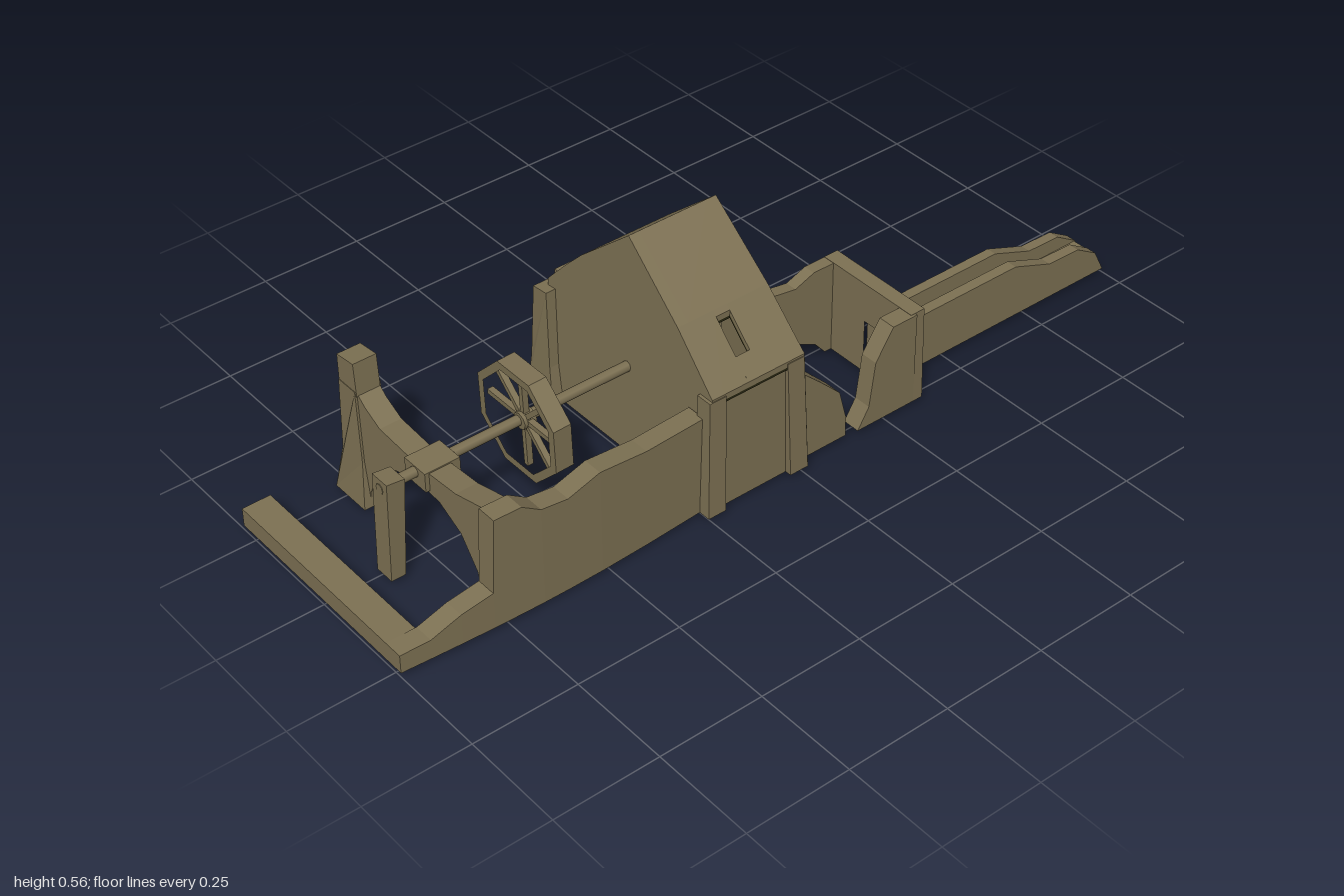
import * as THREE from 'three';

const stone = new THREE.MeshStandardMaterial({ color: 0x7d7153 });
stone.name = 'weathered stone';
const shade = new THREE.MeshStandardMaterial({ color: 0x282611 });
shade.name = 'dark interior';

const G = 0.01; // ground line of the masonry

export function createModel() {
  const root = new THREE.Group();
  root.name = 'ruinedMill';

  const add = (parent, name, geo, mat = stone) => {
    const m = new THREE.Mesh(geo, mat);
    m.name = name;
    parent.add(m);
    return m;
  };
  const toShape = (pts, holes) => {
    const s = new THREE.Shape(pts.map(p => new THREE.Vector2(...p)));
    holes.forEach(h => s.holes.push(new THREE.Path(h.map(p => new THREE.Vector2(...p)))));
    return s;
  };
  // profile in (x, y), swept from z0 to z1
  const sweepZ = (pts, z0, z1) =>
    new THREE.ExtrudeGeometry(toShape(pts, []), { depth: z1 - z0, bevelEnabled: false }).translate(0, 0, z0);
  // profile in (z, y), swept from x0 to x1
  const sweepX = (pts, x0, x1, holes = []) => {
    const flip = a => a.map(([z, y]) => [-z, y]);
    return new THREE.ExtrudeGeometry(toShape(flip(pts), holes.map(flip)), { depth: x1 - x0, bevelEnabled: false })
      .rotateY(Math.PI / 2).translate(x0, 0, 0);
  };
  const box = (x0, x1, y0, y1, z0, z1) =>
    new THREE.BoxGeometry(x1 - x0, y1 - y0, z1 - z0).translate((x0 + x1) / 2, (y0 + y1) / 2, (z0 + z1) / 2);
  const warp = (geo, rule) => {
    const p = geo.attributes.position, v = new THREE.Vector3();
    for (let i = 0; i < p.count; i++) {
      rule(v.fromBufferAttribute(p, i));
      p.setXYZ(i, v.x, v.y, v.z);
    }
    geo.computeVertexNormals();
    return geo;
  };

  // ---- Gabled house, narrowing towards the ridge
  const house = new THREE.Group();
  house.name = 'house';
  root.add(house);
  const taper = geo => warp(geo, v => { v.x = -0.118 + (v.x + 0.118) * (1 - 0.25 * v.y); });
  const X0 = -0.25, X1 = 0.014, R0 = X0 + 0.03, R1 = X1 - 0.03;
  const gable = [[0.296, G], [0.288, 0.305], [0.175, 0.42], [0.015, 0.556], [-0.14, 0.425], [-0.195, 0.37], [-0.255, 0.305], [-0.265, G]];
  // arch above a half-height wall, with a doorway down one side
  const archHole = [[0.16, 0.02], [0.16, 0.305], [0.135, 0.35], [0.095, 0.38], [0.015, 0.398],
    [-0.07, 0.378], [-0.11, 0.35], [-0.133, 0.305], [0.055, 0.305], [0.055, 0.02]];
  add(house, 'solidGableWall', taper(sweepX(gable, X0, R0)));
  add(house, 'archedGableWall', taper(sweepX(gable, R1, X1, [archHole])));

  // dark inner faces of the two gable walls
  const inner = [[0.262, G], [0.262, 0.305], [0.17, 0.402], [0.015, 0.534], [-0.14, 0.402], [-0.185, 0.357], [-0.24, 0.3], [-0.25, G]];
  add(house, 'solidWallLining', taper(sweepX(inner, R0, R0 + 0.006)), shade);
  add(house, 'archedWallLining', taper(sweepX(inner, R1 - 0.006, R1, [archHole])), shade);

  // roof slab with a dark underside
  const slab = (name, a, b, x0, x1) => {
    const layer = (t, d) => taper(sweepX([[a[0], a[1] - t], [b[0], b[1] - t], [b[0], b[1] - d], [a[0], a[1] - d]], x0, x1));
    add(house, name, layer(0, 0.014));
    add(house, name + 'Lining', layer(0.014, 0.02), shade);
  };
  slab('frontRoofUpper', [0.175, 0.42], [0.015, 0.556], R0, R1);
  slab('backRoofUpper', [0.015, 0.556], [-0.14, 0.425], R0, R1);
  slab('backRoofLower', [-0.14, 0.425], [-0.182, 0.383], R0, R1);
  // front roof around a small skylight
  const w0 = -0.148, w1 = -0.108;
  slab('frontRoofLower', [0.288, 0.305], [0.175, 0.42], R0, w0);
  slab('frontRoofLower', [0.288, 0.305], [0.175, 0.42], w1, R1);
  slab('skylightSill', [0.288, 0.305], [0.248, 0.346], w0, w1);
  slab('skylightHead', [0.185, 0.41], [0.175, 0.42], w0, w1);
  // recessed front with corner piers
  add(house, 'frontPanel', box(-0.215, -0.035, G, 0.303, 0.255, 0.282));
  add(house, 'frontPanelLining', box(R0, R1, G, 0.315, 0.249, 0.255), shade);
  for (const [a, b] of [[-0.258, -0.212], [-0.036, 0.012]])
    add(house, 'frontPier', taper(sweepX([[0.298, G], [0.29, 0.3], [0.25, 0.3], [0.25, G]], a, b)));
  // open back with flared buttresses and a lintel
  add(house, 'backLintel', box(-0.21, -0.03, 0.28, 0.305, -0.272, -0.235));
  const leg = [[-0.205, G], [-0.22, 0.1], [-0.23, 0.29], [-0.275, 0.285], [-0.285, 0.1], [-0.295, G]];
  for (const c of [-0.24, -0.012])
    add(house, 'backButtress', warp(sweepX(leg, c - 0.036, c + 0.036), v => {
      v.x = c + (v.x - c) * (v.y < 0.05 ? 1.05 : v.y < 0.2 ? 0.85 : 0.7);
    }));

  // ---- Long front wall, slightly bowed, laid in short lengths
  const top = [[-1, 0.055], [-0.93, 0.058], [-0.86, 0.085], [-0.785, 0.1], [-0.775, 0.28], [-0.71, 0.28],
    [-0.665, 0.25], [-0.6, 0.242], [-0.52, 0.265], [-0.4, 0.252], [-0.245, 0.25]];
  const frontWall = new THREE.Group();
  frontWall.name = 'frontWall';
  root.add(frontWall);
  for (let i = 0; i < top.length - 1; i++) {
    const [a, b] = [top[i], top[i + 1]];
    add(frontWall, 'wallLength', warp(sweepZ([a, b, [b[0], G], [a[0], G]], 0.22, 0.268),
      v => { v.z += 0.016 * Math.sin(Math.PI * (v.x + 1) / 0.755); }));
  }
  add(root, 'lowSideWall', box(-1, -0.932, G, 0.055, -0.294, 0.24));

  // ---- Arched cross wall with a tall end pillar
  add(root, 'archedCrossWall', sweepX([[-0.25, G], [-0.245, 0.3], [-0.2, 0.3], [-0.17, 0.275], [-0.12, 0.25], [-0.02, 0.243],
    [0.05, 0.243], [0.14, 0.25], [0.235, 0.275], [0.235, G], [0.222, G], [0.2, 0.09], [0.15, 0.155], [0.08, 0.19],
    [0, 0.195], [-0.08, 0.17], [-0.14, 0.115], [-0.175, 0.05], [-0.182, G]], -0.765, -0.712));
  add(root, 'endPillar', warp(sweepX([[-0.28, G], [-0.262, 0.12], [-0.253, 0.3], [-0.195, 0.3], [-0.19, 0.12], [-0.175, G]], -0.778, -0.7),
    v => { v.x = -0.739 + (v.x + 0.739) * (v.y < 0.05 ? 1.15 : 0.8); }));
  add(root, 'pillarCap', sweepX([[-0.253, 0.29], [-0.253, 0.363], [-0.195, 0.37], [-0.19, 0.29]], -0.769, -0.712));
  add(root, 'axleSeat', box(-0.775, -0.69, 0.2, 0.246, -0.02, 0.05));
  add(root, 'axlePost', sweepZ([[-0.865, G], [-0.858, 0.255], [-0.815, 0.25], [-0.83, G]], -0.01, 0.04));

  // ---- Axle and octagonal wheel
  add(root, 'axle', new THREE.CylinderGeometry(0.012, 0.012, 0.62, 8).rotateZ(Math.PI / 2).translate(-0.55, 0.232, 0.015));
  const wheel = new THREE.Group();
  wheel.name = 'wheel';
  wheel.position.set(-0.507, 0.232, 0.019);
  wheel.rotation.z = 0.03;
  root.add(wheel);
  const octagon = r => Array.from({ length: 8 }, (_, i) => {
    const a = (i + 0.5) * Math.PI / 4;
    return [r * Math.cos(a), r * Math.sin(a)];
  });
  add(wheel, 'rim', sweepX(octagon(0.138), -0.022, 0.022, [octagon(0.118)]));
  for (let i = 0; i < 4; i++)
    add(wheel, 'spoke', new THREE.BoxGeometry(0.014, 0.24, 0.012)).rotation.x = i * Math.PI / 4;
  add(wheel, 'hub', new THREE.CylinderGeometry(0.02, 0.02, 0.03, 8).rotateZ(Math.PI / 2));

  // ---- Leaning pole behind the house
  const pole = add(root, 'leaningPole', new THREE.BoxGeometry(0.012, 0.145, 0.012));
  pole.position.set(-0.317, 0.056, -0.2);
  pole.rotation.x = -0.76;

  // ---- Walled yard: broken front, arched rear and end wall with a water inlet
  add(root, 'brokenFrontWall', sweepZ([[0, G], [0, 0.24], [0.02, 0.232], [0.065, 0.19], [0.12, 0.135], [0.14, 0.06], [0.14, G]], 0.228, 0.272));
  add(root, 'yardFrontWall', sweepZ([[0.17, G], [0.2, 0.06], [0.215, 0.17], [0.262, 0.242], [0.33, 0.242], [0.33, G]], 0.235, 0.278));
  add(root, 'yardRearWall', sweepZ([[0, G], [0, 0.243], [0.1, 0.24], [0.21, 0.222], [0.262, 0.242], [0.33, 0.242], [0.33, G],
    [0.3, G], [0.27, 0.045], [0.22, 0.068], [0.17, 0.07], [0.12, 0.05], [0.08, G]], -0.005, 0.025));
  add(root, 'yardEndWall', sweepX([[0.278, G], [0.272, 0.243], [-0.005, 0.243], [-0.005, G]], 0.318, 0.356,
    [[[0.168, 0.065], [0.168, 0.145], [0.13, 0.145], [0.13, 0.065]]]));

  // ---- Water channel: two cheeks and a floor, broken down at the far end
  const cheek = [[0.35, G], [0.35, 0.146], [0.71, 0.146], [0.82, 0.104], [0.91, 0.102], [0.97, 0.066], [0.999, G]];
  const bed = [[0.35, G], [0.35, 0.065], [0.968, 0.065], [0.999, G]];
  add(root, 'channelCheek', sweepZ(cheek, 0.168, 0.195));
  add(root, 'channelCheek', sweepZ(cheek, 0.105, 0.13));
  add(root, 'channelBed', sweepZ(bed, 0.13, 0.168));

  return root;
}
